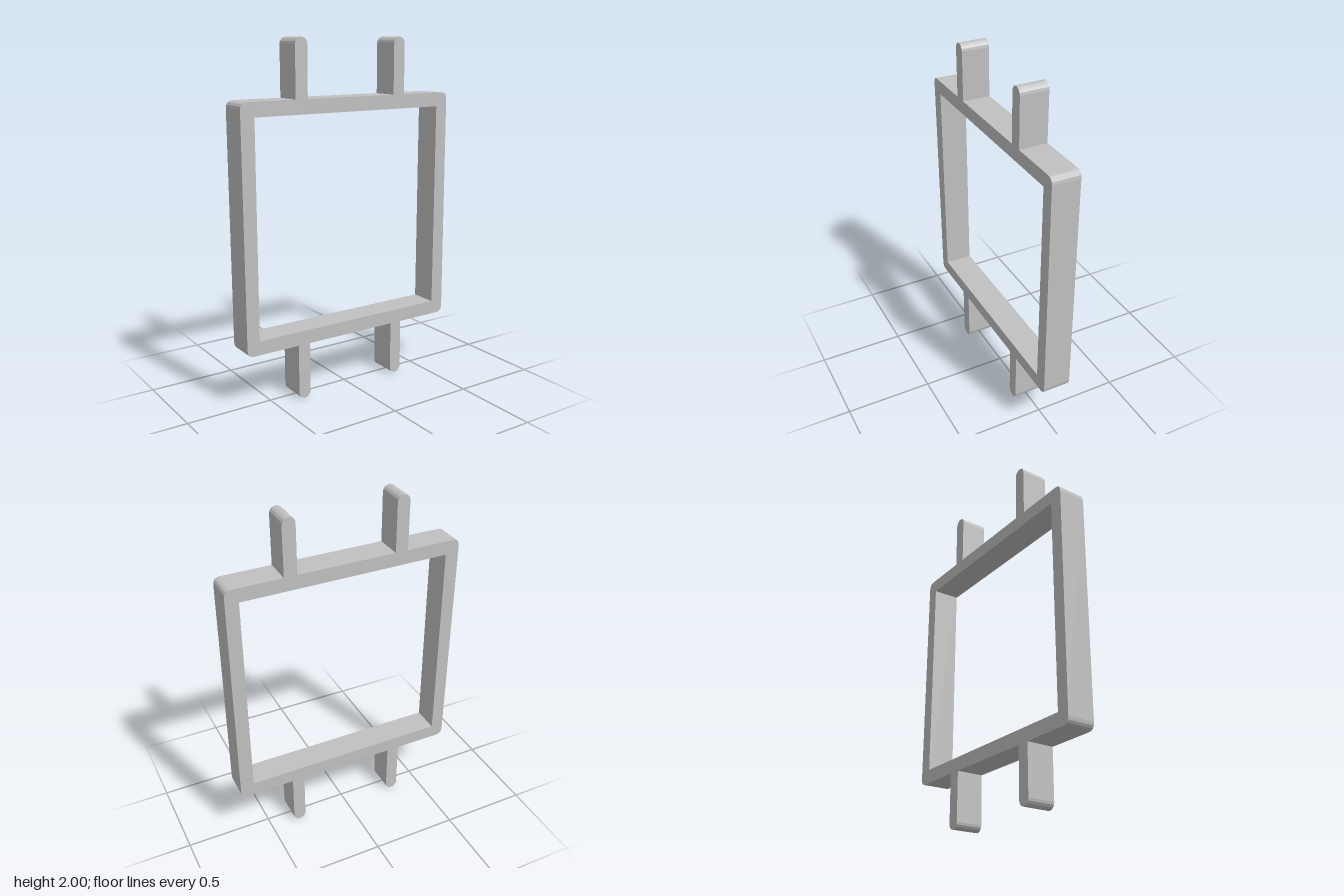
import * as THREE from 'three';

const DEPTH = 0.16;

export function createModel() {
  const model = new THREE.Group();
  model.name = 'squareFrameWithPins';
  const grey = new THREE.MeshStandardMaterial({ color: 0xc0c0c0, flatShading: true });
  grey.name = 'light grey';

  const addPlate = (name, shape, curveSegments) => {
    const geometry = new THREE.ExtrudeGeometry(shape, { depth: DEPTH, bevelEnabled: false, curveSegments });
    geometry.translate(0, 0, -DEPTH / 2);
    const mesh = new THREE.Mesh(geometry, grey);
    mesh.name = name;
    model.add(mesh);
    return mesh;
  };

  // Square frame: rounded corners, very slightly tapered sides, sharp square opening
  const wide = 0.68, narrow = 0.675, low = 0.32, high = 1.68, r = 0.04;
  const outline = new THREE.Shape();
  outline.moveTo(-narrow + r, low);
  outline.lineTo(wide - r, low);
  outline.quadraticCurveTo(wide, low, wide, low + r);
  outline.lineTo(narrow, high - r);
  outline.quadraticCurveTo(narrow, high, narrow - r, high);
  outline.lineTo(-wide + r, high);
  outline.quadraticCurveTo(-wide, high, -wide, high - r);
  outline.lineTo(-narrow, low + r);
  outline.quadraticCurveTo(-narrow, low, -narrow + r, low);
  const opening = new THREE.Path();
  opening.moveTo(-0.6, 0.4);
  opening.lineTo(-0.6, 1.6);
  opening.lineTo(0.6, 1.6);
  opening.lineTo(0.6, 0.4);
  opening.closePath();
  outline.holes.push(opening);
  addPlate('frame', outline, 4);

  // Round-ended pins, two above and two below
  const half = 0.037, length = 0.32;
  const pin = new THREE.Shape();
  pin.moveTo(-half, 0);
  pin.lineTo(half, 0);
  pin.lineTo(half, length - half);
  pin.absarc(0, length - half, half, 0, Math.PI, false);
  pin.closePath();
  for (const [side, x] of [['left', 0.32], ['right', -0.32]]) {
    addPlate(`${side}TopPin`, pin, 4).position.set(x, high, 0);
    const bottom = addPlate(`${side}BottomPin`, pin, 4);
    bottom.position.set(x, low, 0);
    bottom.rotation.z = Math.PI;
  }
  return model;
}
